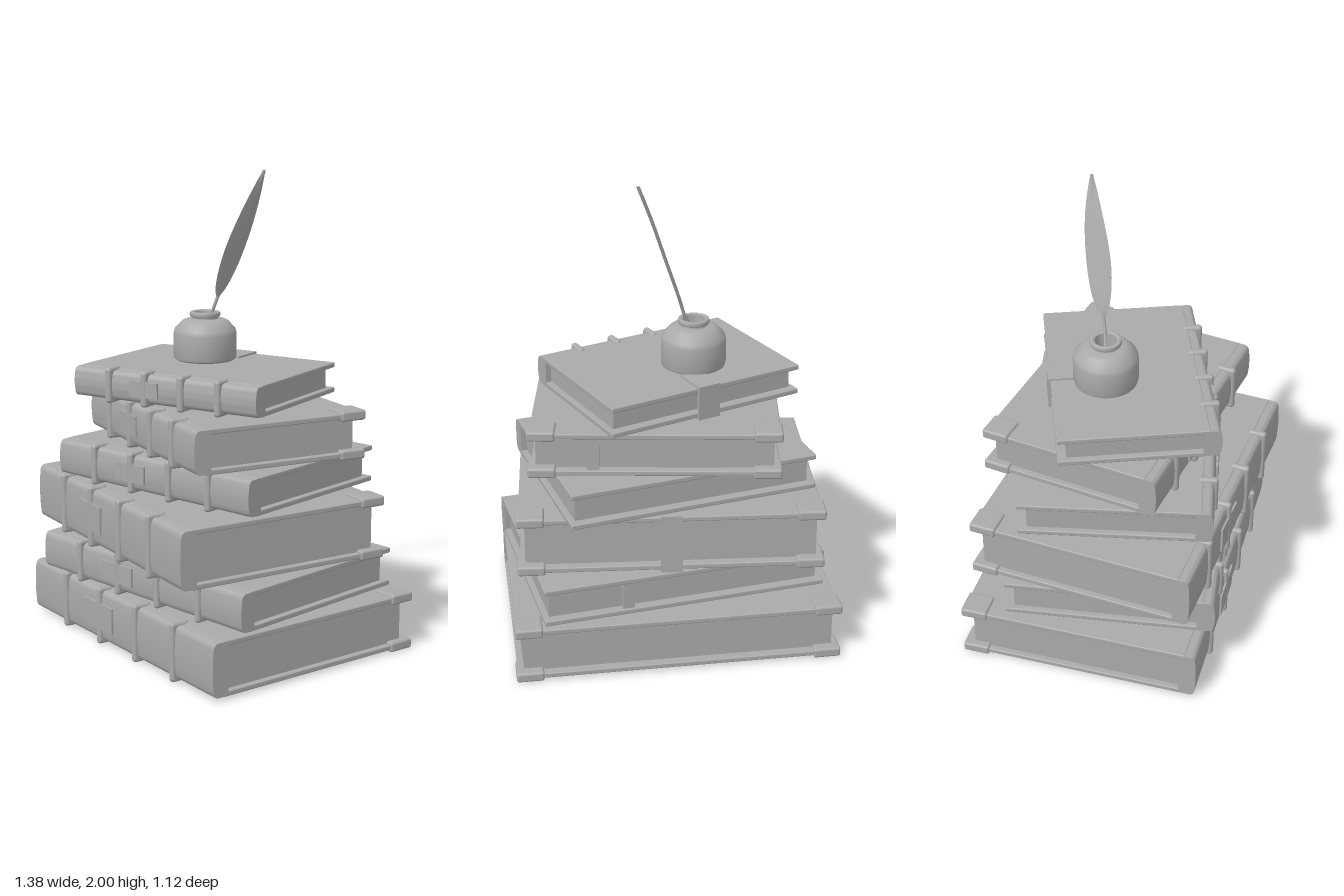
import * as THREE from 'three';
import { toCreasedNormals } from 'three/addons/utils/BufferGeometryUtils.js';
import { RoundedBoxGeometry } from 'three/addons/geometries/RoundedBoxGeometry.js';

const grey = new THREE.MeshStandardMaterial({ color: 0xaaaaaa });
grey.name = 'stone grey';
const greyThin = grey.clone();
greyThin.side = THREE.DoubleSide;

function add(parent, name, geometry, x = 0, y = 0, z = 0, material = grey) {
  const mesh = new THREE.Mesh(geometry, material);
  mesh.name = name;
  mesh.position.set(x, y, z);
  parent.add(mesh);
  return mesh;
}

// Rounded spine: profile across the thickness, extruded along the book
function spineGeometry(length, h, depth) {
  const r = 0.03, s = new THREE.Shape();
  s.moveTo(depth, -h / 2);
  s.lineTo(depth, h / 2);
  s.lineTo(r, h / 2);
  s.quadraticCurveTo(0.006, h / 2, 0.004, h / 2 - r);
  s.quadraticCurveTo(-0.004, 0, 0.004, -h / 2 + r);
  s.quadraticCurveTo(0.006, -h / 2, r, -h / 2);
  s.closePath();
  const g = new THREE.ExtrudeGeometry(s, { depth: length, bevelEnabled: false, curveSegments: 8 });
  g.translate(0, 0, -length / 2);
  g.rotateY(Math.PI / 2);
  return toCreasedNormals(g, 0.7);
}

function makeBook({ y0, y1, w, d, x, z, turn, caps, clasp, ribbon }) {
  const book = new THREE.Group();
  book.name = 'book';
  const h = y1 - y0, t = 0.022, front = d / 2, back = -d / 2;
  const coverDepth = d - 0.05;

  // Covers, pages and spine
  for (const side of [-1, 1]) {
    add(book, 'cover', new RoundedBoxGeometry(w, t, coverDepth, 2, 0.005),
      0, side * (h - t) / 2, back + coverDepth / 2);
  }
  add(book, 'pages', new THREE.BoxGeometry(w - 0.05, h - 2 * t + 0.004, d - 0.075), 0, 0, 0);
  add(book, 'spine', spineGeometry(w, h - 0.006, 0.075), 0, 0, front);

  // Raised bands and title plate
  for (const f of [0.2, 0.4, 0.6, 0.8]) {
    add(book, 'spineBand', new RoundedBoxGeometry(0.03, h + 0.02, 0.085, 3, 0.013),
      (f - 0.5) * w, 0, front - 0.03);
  }
  add(book, 'titlePlate', new THREE.BoxGeometry(0.155 * w, h * 0.5, 0.009), -0.1 * w, 0, front + 0.004);

  // Corner guards on the fore edge
  if (caps) {
    for (const sx of [-1, 1]) for (const sy of [-1, 1]) {
      add(book, 'cornerGuard', new RoundedBoxGeometry(0.115, 0.042, 0.115, 3, 0.01),
        sx * (w / 2 - 0.05), sy * (h / 2 - 0.011), back + 0.05);
    }
  }

  // Clasp strap folded over the fore edge
  if (clasp) {
    add(book, 'claspStrap', new THREE.BoxGeometry(clasp, h + 0.016, 0.012), 0, 0, back - 0.004);
    for (const side of [-1, 1]) {
      const reach = side > 0 ? 0.15 : 0.06;
      add(book, 'claspFlap', new THREE.BoxGeometry(clasp, 0.009, reach),
        0, side * (h / 2 + 0.0035), back + reach / 2 - 0.01);
    }
  }

  // Ribbon across the page edges
  if (ribbon) add(book, 'ribbon', new THREE.BoxGeometry(0.05, h - 2 * t, 0.03), 0.25, 0, back + 0.025);

  book.position.set(x, (y0 + y1) / 2, z);
  book.rotation.y = THREE.MathUtils.degToRad(turn);
  return book;
}

function makeInkPot() {
  const pot = new THREE.Group();
  pot.name = 'inkPot';
  const profile = [
    [0, 0], [0.122, 0], [0.132, 0.006], [0.136, 0.02], [0.136, 0.115], [0.131, 0.135],
    [0.1, 0.168], [0.085, 0.175], [0.056, 0.178], [0.055, 0.184], [0.064, 0.188],
    [0.067, 0.196], [0.064, 0.206], [0.056, 0.209], [0.046, 0.205], [0.043, 0.17], [0.043, 0.14], [0, 0.14],
  ].map(([r, y]) => new THREE.Vector2(r, y));
  add(pot, 'potBody', toCreasedNormals(new THREE.LatheGeometry(profile, 40), 0.7));
  pot.position.set(-0.125, 1.18, -0.065);
  return pot;
}

function makeQuill() {
  const quill = new THREE.Group();
  quill.name = 'quill';
  const curve = new THREE.CatmullRomCurve3([
    [-0.125, 1.32, -0.066], [-0.09, 1.39, -0.077], [-0.055, 1.5, -0.1],
    [0, 1.66, -0.128], [0.065, 1.85, -0.166], [0.121, 1.996, -0.19],
  ].map((p) => new THREE.Vector3(...p)));
  add(quill, 'shaft', new THREE.TubeGeometry(curve, 24, 0.007, 8));

  // Feather blade: a tapering diamond section swept up the shaft
  const rows = 20, pos = [], idx = [];
  for (let i = 0; i <= rows; i++) {
    const s = i / rows;
    const p = curve.getPointAt(0.2 + 0.8 * s);
    const half = 0.004 + 0.048 * Math.pow(Math.sin(Math.PI * Math.pow(s, 0.75)), 0.8);
    pos.push(p.x, p.y, p.z + half, p.x + 0.007, p.y, p.z, p.x, p.y, p.z - half, p.x - 0.007, p.y, p.z);
    if (i < rows) for (let k = 0; k < 4; k++) {
      const a = i * 4 + k, b = i * 4 + (k + 1) % 4;
      idx.push(a, b, a + 4, b, b + 4, a + 4);
    }
  }
  const g = new THREE.BufferGeometry();
  g.setAttribute('position', new THREE.Float32BufferAttribute(pos, 3));
  g.setIndex(idx);
  g.computeVertexNormals();
  add(quill, 'featherBlade', toCreasedNormals(g, 0.7), 0, 0, 0, greyThin);
  return quill;
}

export function createModel() {
  const model = new THREE.Group();
  model.name = 'bookStackWithQuill';
  const books = [
    { y0: 0.01, y1: 0.24, w: 1.36, d: 1.035, x: 0, z: -0.035, turn: 0, caps: true },
    { y0: 0.25, y1: 0.415, w: 1.22, d: 0.9, x: 0.02, z: -0.01, turn: 8, ribbon: true },
    { y0: 0.43, y1: 0.675, w: 1.26, d: 0.965, x: -0.017, z: 0.02, turn: -5, caps: true, clasp: 0.09 },
    { y0: 0.685, y1: 0.84, w: 1.075, d: 0.81, x: 0, z: -0.025, turn: 12 },
    { y0: 0.85, y1: 1.035, w: 1.02, d: 0.775, x: 0.03, z: -0.042, turn: -9, caps: true, ribbon: true },
    { y0: 1.05, y1: 1.18, w: 0.89, d: 0.665, x: -0.025, z: 0.005, turn: 21.7, clasp: 0.1 },
  ];
  for (const b of books) model.add(makeBook(b));
  model.add(makeInkPot(), makeQuill());
  return model;
}
